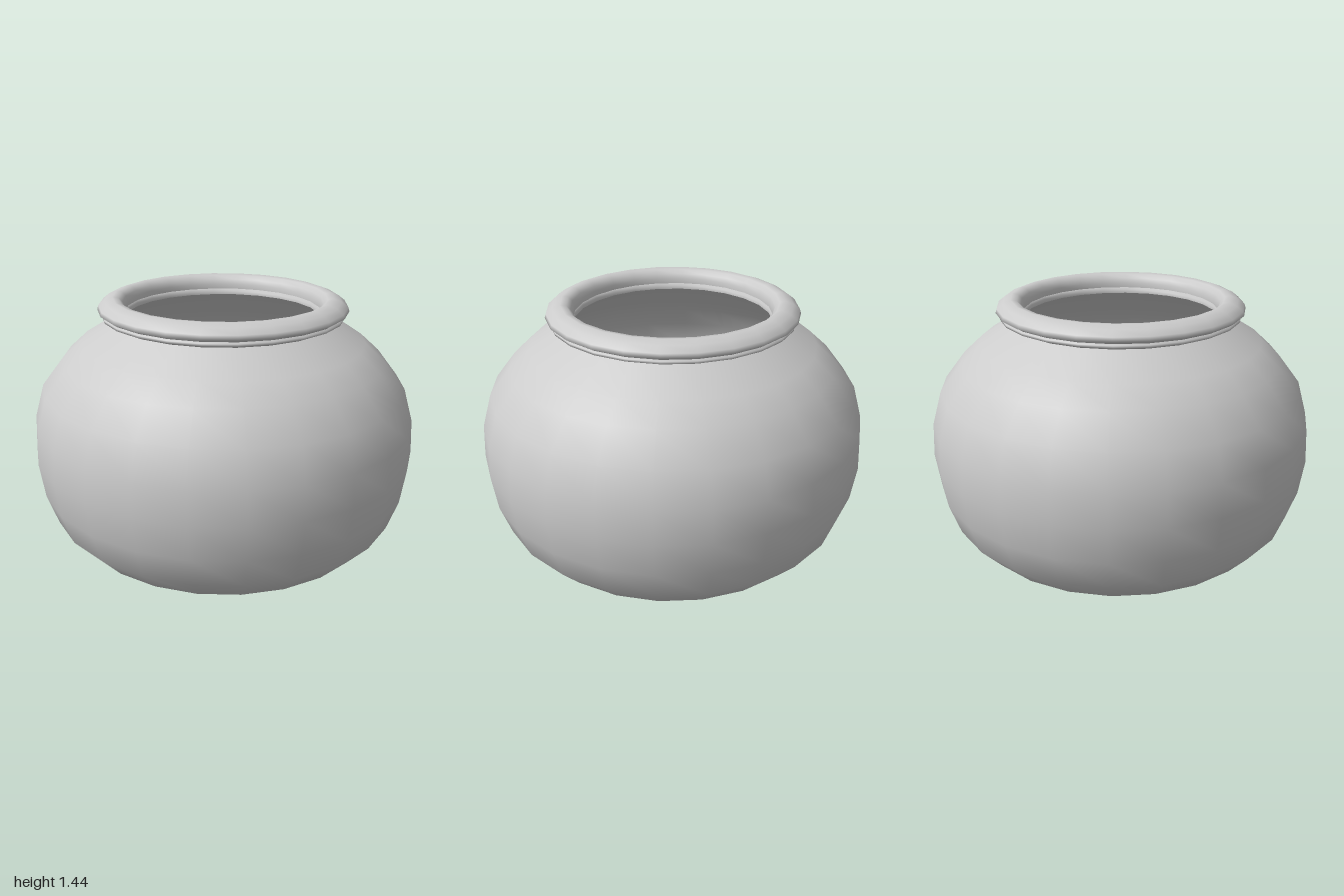
import * as THREE from 'three';

const grey = new THREE.MeshStandardMaterial({ color: 0xcccccc });
const flat = new THREE.MeshStandardMaterial({ color: 0xcccccc, flatShading: true });
const thin = new THREE.MeshStandardMaterial({ color: 0xcccccc, side: THREE.DoubleSide });

function part(name, geometry, material, parent, x = 0, y = 0, z = 0) {
  const mesh = new THREE.Mesh(geometry, material);
  mesh.name = name;
  mesh.position.set(x, y, z);
  parent.add(mesh);
  return mesh;
}

// Profiles run up the outside and down the inside so faces point outward
const lathe = (profile, sides = 24) =>
  new THREE.LatheGeometry(profile.map(([r, y]) => new THREE.Vector2(r, y)), sides);

const outer = [[0.43, 0.095], [0.64, 0.135], [0.81, 0.19], [0.92, 0.31], [0.975, 0.47], [1.0, 0.65],
  [0.99, 0.82], [0.94, 0.99], [0.83, 1.13], [0.73, 1.22], [0.54, 1.335]];
const inner = [[0.5, 1.335], [0.7, 1.2], [0.8, 1.11], [0.905, 0.98], [0.955, 0.82], [0.965, 0.65],
  [0.94, 0.47], [0.885, 0.32], [0.785, 0.22], [0.63, 0.165], [0.455, 0.125]];

// Square tower: stem, flared battlement and pyramid roof
function tower(name, half, height, parent, x, z) {
  const group = new THREE.Group();
  group.name = name;
  group.position.set(x, 0.12, z);
  parent.add(group);
  const k = Math.SQRT2;
  const stem = lathe([[half * 1.05 * k, 0], [half * 0.95 * k, 0.05], [half * 0.75 * k, 0.1],
    [half * 0.72 * k, height - 0.12], [half * 0.95 * k, height - 0.06], [half * 0.95 * k, height],
    [half * 0.75 * k, height], [half * 0.75 * k, height - 0.04], [0, height - 0.04]], 4);
  part('towerWall', stem.rotateY(Math.PI / 4), flat, group);
  const roof = new THREE.ConeGeometry(half * 0.74 * k, 0.14, 4).rotateY(Math.PI / 4);
  part('towerRoof', roof, flat, group, 0, height + 0.03, 0);
}

// Arched bridge with a waisted deck
function bridge(parent) {
  const s = new THREE.Shape();
  s.moveTo(-0.18, 0);
  s.lineTo(-0.18, 0.26);
  s.quadraticCurveTo(0, 0.34, 0.18, 0.26);
  s.lineTo(0.18, 0);
  s.lineTo(0.11, 0);
  s.lineTo(0.11, 0.1);
  s.absarc(0, 0.1, 0.11, 0, Math.PI, false);
  s.lineTo(-0.11, 0);
  const g = new THREE.ExtrudeGeometry(s, { depth: 0.14, bevelEnabled: false, curveSegments: 8 });
  g.translate(0, 0, -0.07).rotateY(Math.PI / 2);
  const p = g.attributes.position;
  for (let i = 0; i < p.count; i++) p.setX(i, p.getX(i) * (0.85 + 5 * p.getZ(i) ** 2));
  g.computeVertexNormals();
  part('bridge', g, flat, parent, 0.16, 0.12, 0.03);
}

// Thin fin outlined in the x-y plane
function fin(name, points, parent) {
  const g = new THREE.ShapeGeometry(new THREE.Shape(points.map(([x, y]) => new THREE.Vector2(x, y))));
  return part(name, g, thin, parent);
}

function fish(parent) {
  const group = new THREE.Group();
  group.name = 'fish';
  group.position.set(-0.085, 0.5, 0);
  group.rotation.y = 0.37;
  parent.add(group);

  // Body tapers towards the tail
  const body = new THREE.SphereGeometry(1, 14, 12).rotateX(Math.PI / 2);
  const p = body.attributes.position;
  for (let i = 0; i < p.count; i++) {
    const t = p.getZ(i), taper = t < 0 ? 1 + 0.55 * t : 1;
    p.setXYZ(i, p.getX(i) * 0.058 * taper, p.getY(i) * 0.085 * taper, t < 0 ? t * 0.22 : t * 0.14 + 0.0);
  }
  body.computeVertexNormals();
  part('fishBody', body, grey, group);

  for (const side of [-1, 1]) {
    part('eye', new THREE.SphereGeometry(0.028, 10, 8), grey, group, side * 0.042, 0.03, 0.105);
    const f = fin('sideFin', [[0, 0], [0.06, -0.01], [0.085, -0.05], [0.02, -0.03]], group);
    f.position.set(side * 0.045, -0.02, 0.03);
    f.rotation.y = side > 0 ? 0.8 : Math.PI - 0.8;
  }
  const tail = fin('tailFin', [[-0.18, 0.012], [-0.26, 0.08], [-0.34, 0.09], [-0.29, 0],
    [-0.34, -0.09], [-0.26, -0.08], [-0.18, -0.012]], group);
  tail.rotation.y = -Math.PI / 2;
  const back = fin('backFin', [[0.06, 0.07], [0, 0.13], [-0.1, 0.11], [-0.13, 0.05]], group);
  back.rotation.y = -Math.PI / 2;
}

export function createModel() {
  const model = new THREE.Group();
  model.name = 'fishBowl';

  const bowl = new THREE.Group();
  bowl.name = 'bowl';
  bowl.scale.x = 0.985;
  model.add(bowl);

  // Glass walls, inside and out
  part('outerWall', lathe(outer), grey, bowl);
  part('innerWall', lathe(inner), grey, bowl);
  part('bowlFloor', new THREE.CircleGeometry(0.455, 24).rotateX(-Math.PI / 2), grey, bowl, 0, 0.125, 0);

  // Rolled rim with a thin bead below it
  part('rim', lathe([[0.5, 1.365], [0.615, 1.365], [0.638, 1.38], [0.632, 1.4], [0.6, 1.425], [0.56, 1.44],
    [0.53, 1.435], [0.51, 1.415], [0.5, 1.39], [0.5, 1.365]]), grey, bowl);
  part('rimBead', lathe([[0.5, 1.333], [0.59, 1.333], [0.618, 1.345], [0.62, 1.358], [0.6, 1.37],
    [0.515, 1.37], [0.5, 1.35], [0.5, 1.333]]), grey, bowl);

  // Stepped foot and its flat underside
  part('foot', lathe([[0.475, 0], [0.49, 0.01], [0.49, 0.03], [0.475, 0.042], [0.475, 0.058],
    [0.46, 0.08], [0.44, 0.105]]), grey, bowl);
  part('footBase', new THREE.CircleGeometry(0.475, 24).rotateX(Math.PI / 2), grey, bowl);

  // Castle ornament and fish
  const castle = new THREE.Group();
  castle.name = 'castle';
  model.add(castle);
  tower('backTower', 0.125, 0.42, castle, 0.16, -0.25);
  tower('frontTower', 0.14, 0.52, castle, 0.16, 0.305);
  bridge(castle);
  fish(model);
  return model;
}
